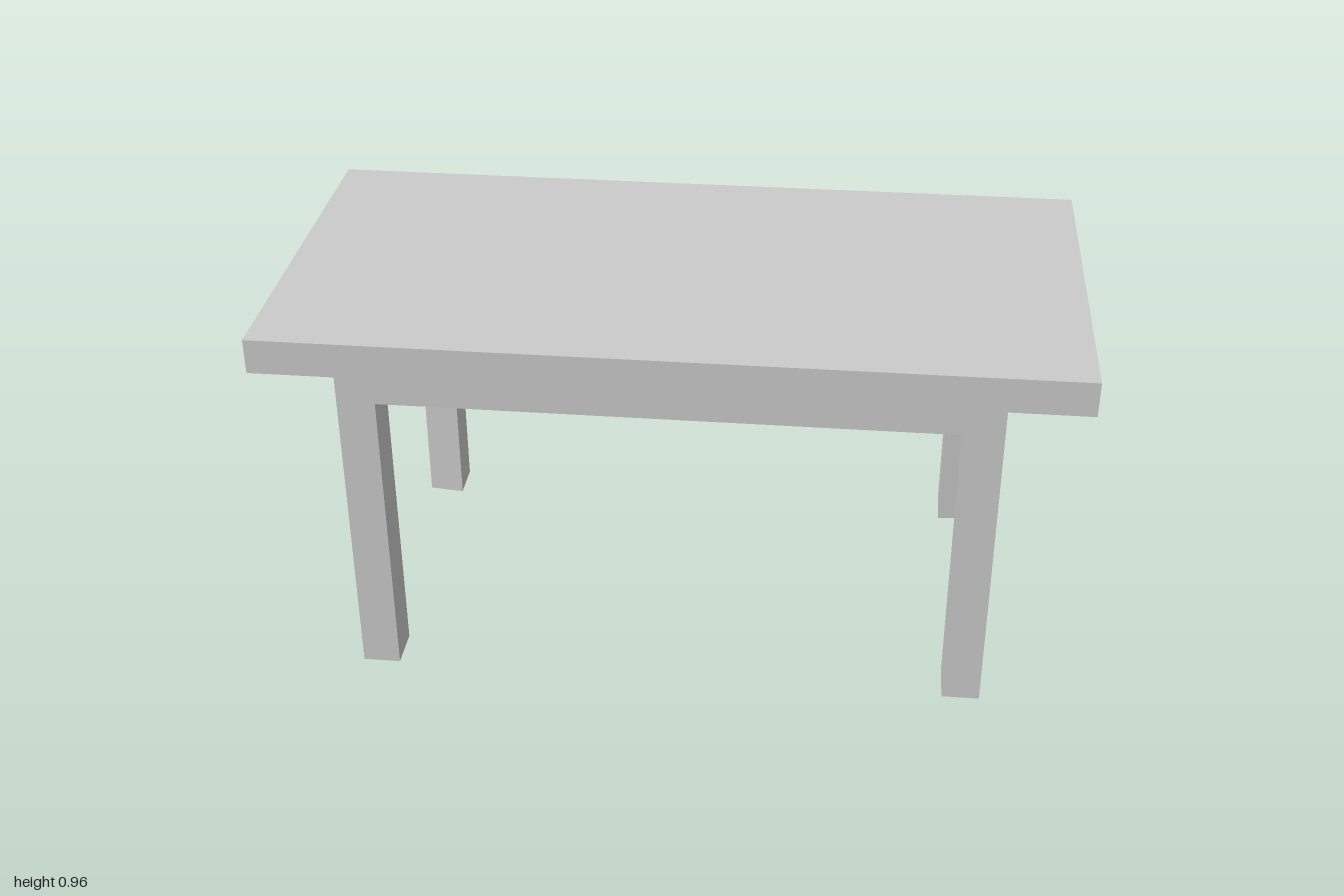
import * as THREE from 'three';

const material = new THREE.MeshStandardMaterial({ color: 0xcccccc });

function addMesh(group, name, geometry, y) {
  const mesh = new THREE.Mesh(geometry, material);
  mesh.name = name;
  mesh.position.y = y;
  group.add(mesh);
}

// Four-sided leg whose inner face flares slightly towards the table's middle
function legGeometry(sx, sz, height) {
  const outline = [[0.8, 0.463], [0.705, 0.463], [0.705, 0.354], [0.8, 0.364]];
  const shape = new THREE.Shape(outline.map(([x, z]) => new THREE.Vector2(sx * x, -sz * z)));
  return new THREE.ExtrudeGeometry(shape, { depth: height, bevelEnabled: false })
    .rotateX(-Math.PI / 2);
}

export function createModel() {
  const table = new THREE.Group();
  table.name = 'table';
  const legHeight = 0.783, apronTop = 0.873, topHeight = 0.962;

  // Overhanging slab
  addMesh(table, 'tableTop', new THREE.BoxGeometry(2, topHeight - apronTop, 1),
    (topHeight + apronTop) / 2);

  // Solid block under the slab, flush with the outside of the legs
  addMesh(table, 'apron', new THREE.BoxGeometry(1.6, apronTop - legHeight, 0.926),
    (apronTop + legHeight) / 2);

  // Corner legs
  for (const [sx, side] of [[1, 'Left'], [-1, 'Right']]) {
    for (const [sz, end] of [[1, 'front'], [-1, 'back']]) {
      addMesh(table, `${end}${side}Leg`, legGeometry(sx, sz, legHeight), 0);
    }
  }
  return table;
}
